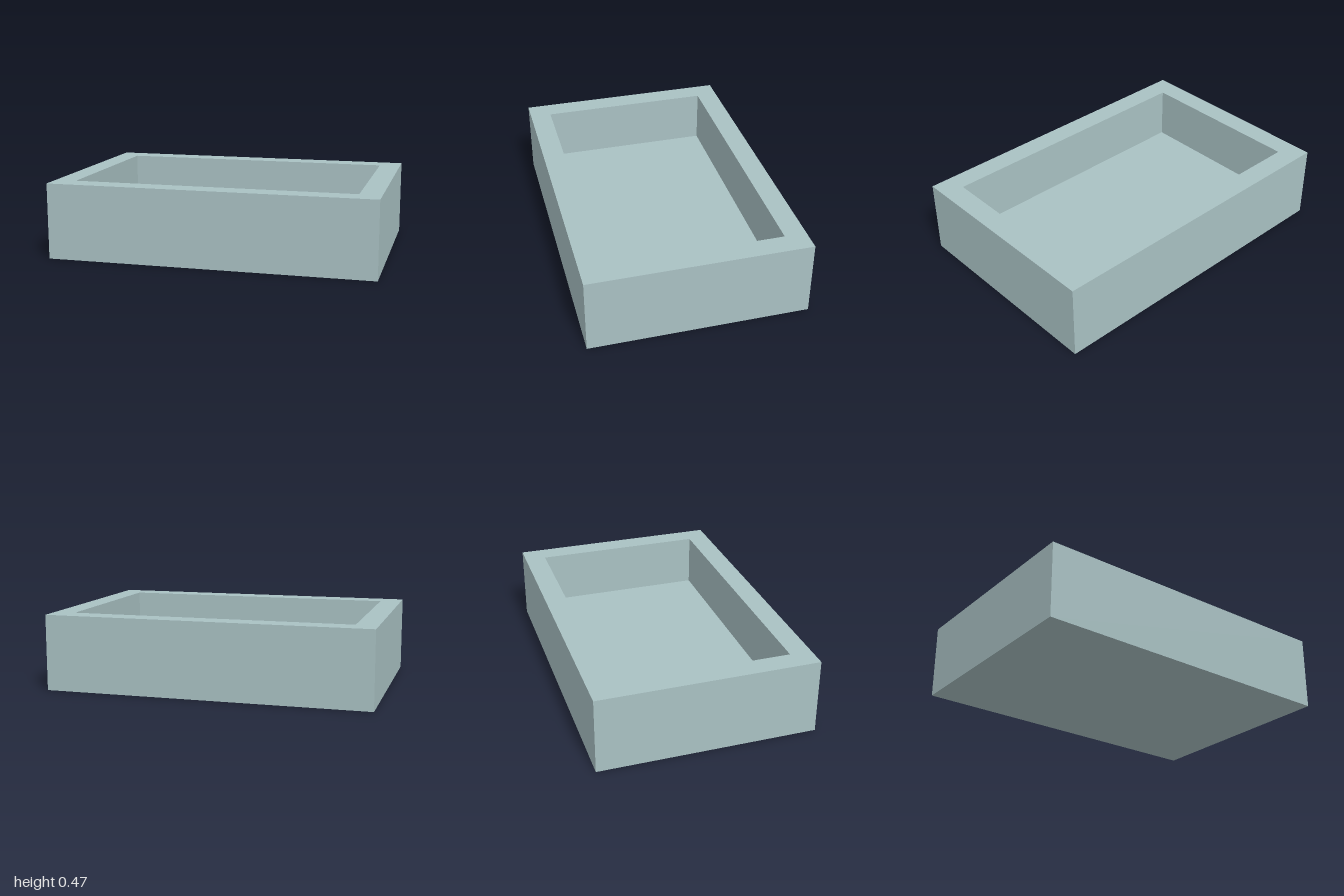
import * as THREE from 'three';

const HALF_X = 1, HALF_Z = 0.6667, HEIGHT = 0.4667, WALL = 0.1333;

// Rectangle of four corners, counter-clockwise from above, pulled in by an inset
function ring(inset, y) {
  const x = HALF_X - inset, z = HALF_Z - inset;
  return [[x, y, z], [x, y, -z], [-x, y, -z], [-x, y, z]];
}

export function createModel() {
  const group = new THREE.Group();
  group.name = 'openTray';

  // Outside wall, rim and inside wall as one skin from bottom to floor
  const rings = [ring(0, 0), ring(0, HEIGHT), ring(WALL, HEIGHT), ring(WALL, WALL)];
  const positions = [];
  const quad = (a, b, c, d) => positions.push(...a, ...b, ...c, ...a, ...c, ...d);

  for (let r = 0; r < rings.length - 1; r++) {
    const low = rings[r], high = rings[r + 1];
    for (let i = 0; i < 4; i++) {
      const j = (i + 1) % 4;
      quad(low[i], low[j], high[j], high[i]);
    }
  }

  // Underside and inner floor
  quad(...[...rings[0]].reverse());
  quad(...rings[3]);

  const geometry = new THREE.BufferGeometry();
  geometry.setAttribute('position', new THREE.Float32BufferAttribute(positions, 3));
  geometry.computeVertexNormals();

  const tray = new THREE.Mesh(geometry, new THREE.MeshStandardMaterial({ color: 0xa9c1c3 }));
  tray.name = 'trayBody';
  group.add(tray);
  return group;
}
